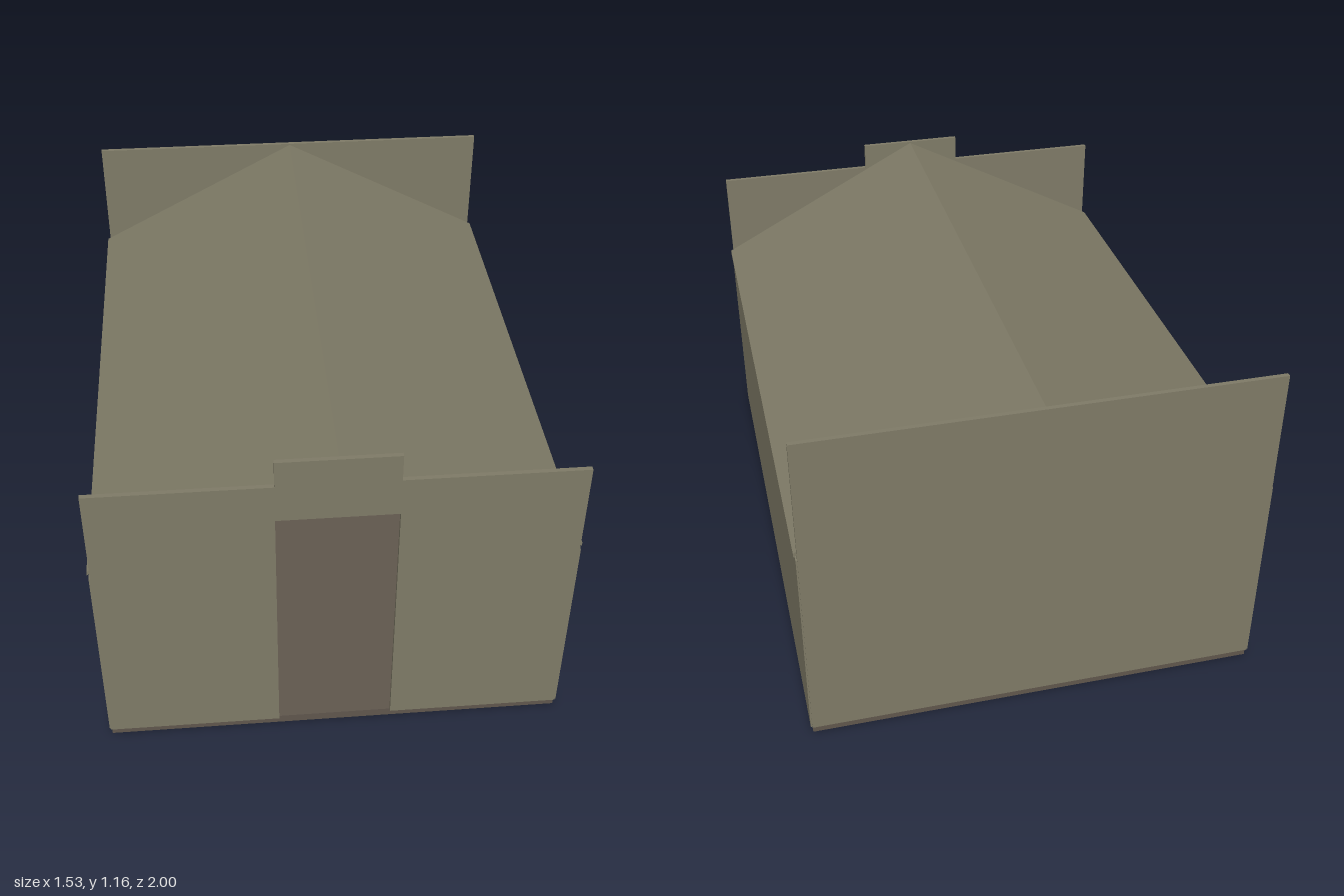
import * as THREE from 'three';

export function createModel() {
  const model = new THREE.Group();
  model.name = 'house';
  const mat = (name, color) => {
    const m = new THREE.MeshStandardMaterial({ color });
    m.name = name;
    return m;
  };
  const wall = mat('olive plaster', 0x7e7a66);
  const wood = mat('brown wood', 0x5f564c);
  const iron = mat('black iron', 0x222222);

  const add = (name, geometry, material, parent = model) => {
    const mesh = new THREE.Mesh(geometry, material);
    mesh.name = name;
    parent.add(mesh);
    return mesh;
  };
  // Box given by its low and high limits on each axis
  const box = (name, [x0, x1], [y0, y1], [z0, z1], material, parent) => {
    const g = new THREE.BoxGeometry(x1 - x0, y1 - y0, z1 - z0);
    g.translate((x0 + x1) / 2, (y0 + y1) / 2, (z0 + z1) / 2);
    return add(name, g, material, parent);
  };
  const outline = (pts) => new THREE.Shape(pts.map(([x, y]) => new THREE.Vector2(x, y)));
  const extrude = (pts, z0, z1) => {
    const g = new THREE.ExtrudeGeometry(outline(pts), { depth: z1 - z0, bevelEnabled: false });
    return g.translate(0, 0, z0);
  };

  // Shell: floor, side walls, tall back wall
  box('floor', [-0.753, 0.753], [0, 0.03], [-0.99, 0.99], wood);
  for (const s of [-1, 1]) {
    const x = [s * 0.745, s * 0.76].sort((a, b) => a - b);
    box(s > 0 ? 'leftWall' : 'rightWall', x, [0.03, 0.735], [-0.995, 0.995], wall);
  }
  box('backWall', [-0.755, 0.755], [0.03, 1.16], [-1, -0.985], wall);

  // Front wall with raised centre and open doorway
  add('frontWall', extrude([
    [-0.755, 0.03], [-0.19, 0.03], [-0.19, 0.935], [0.187, 0.935], [0.187, 0.03], [0.755, 0.03],
    [0.755, 1.067], [0.187, 1.067], [0.187, 1.16], [-0.19, 1.16], [-0.19, 1.067], [-0.755, 1.067],
  ], 0.985, 1), wall);

  // Thin gable roof
  add('roof', extrude([
    [-0.765, 0.742], [0, 1.14], [0.765, 0.742], [0.765, 0.756], [0, 1.156], [-0.765, 0.756],
  ], -0.984, 0.984), wall);

  // Bookcase against the back wall: upper and lower shelf with books
  const bookcase = new THREE.Group();
  bookcase.name = 'bookcase';
  model.add(bookcase);
  box('caseBack', [-0.18, 0.3], [0.03, 0.5], [-0.985, -0.97], wood, bookcase);
  for (const y of [0.03, 0.265, 0.487])
    box('shelf', [-0.18, 0.3], [y, y + 0.013], [-0.97, -0.83], wood, bookcase);
  for (const x of [-0.18, 0.287])
    box('caseSide', [x, x + 0.013], [0.03, 0.5], [-0.97, -0.83], wood, bookcase);
  const heights = [0.105, 0.105, 0.1, 0.125, 0.09, 0.125, 0.145, 0.11];
  for (const base of [0.043, 0.278])
    heights.forEach((h, i) => {
      const x = -0.155 + i * 0.036;
      box('book', [x, x + 0.03], [base, base + h], [-0.96, -0.86], wall, bookcase);
    });

  // Desk and stool in the middle, table along the right-hand wall
  box('deskTop', [-0.22, 0.13], [0.235, 0.25], [-0.75, -0.5], wood);
  box('stool', [-0.105, 0.105], [0.03, 0.225], [-0.45, -0.25], wood);
  box('cup', [-0.015, 0.015], [0.225, 0.262], [-0.36, -0.33], wall);
  box('tableTop', [-0.74, -0.37], [0.22, 0.25], [-0.3, 0.3], wall);
  for (const x of [-0.72, -0.42])
    for (const z of [-0.28, 0.25])
      box('tableLeg', [x, x + 0.03], [0.03, 0.22], [z, z + 0.03], wood);

  // Dark cabinet, dome and hanging cord
  box('cabinetBase', [0.13, 0.4], [0.05, 0.53], [-0.78, -0.5], iron);
  box('cabinetTop', [0.07, 0.4], [0.53, 0.83], [-0.78, -0.5], iron);
  add('dome', new THREE.SphereGeometry(0.07, 16, 12), iron).position.set(0.17, 0.925, -0.6);
  add('cord', new THREE.CylinderGeometry(0.004, 0.004, 0.25, 8), iron).position.set(0, 1.005, 0);

  return model;
}
